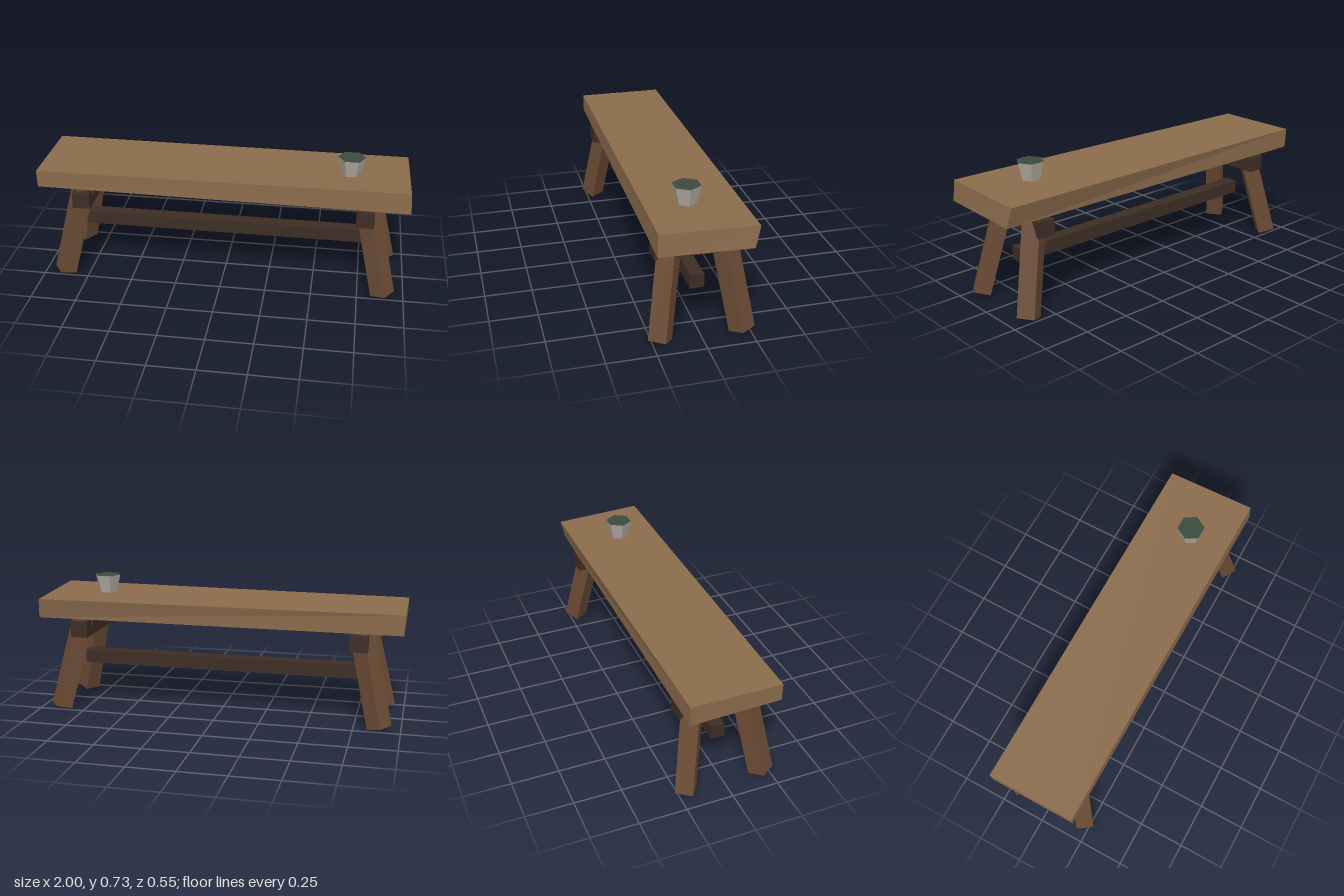
import * as THREE from 'three';

const paint = (name, color) => {
  const m = new THREE.MeshStandardMaterial({ color });
  m.name = name;
  return m;
};

export function createModel() {
  const plankWood = paint('plank wood', 0x8b6b4c);
  const legWood = paint('leg wood', 0x6a4b34);
  const darkWood = paint('dark wood', 0x3d2d24);
  const clay = paint('pale clay', 0xb0aba0);
  const green = paint('dark green', 0x3b4b3c);

  const model = new THREE.Group();
  model.name = 'bench';
  const add = (name, geometry, material, x = 0, y = 0, z = 0) => {
    const mesh = new THREE.Mesh(geometry, material);
    mesh.name = name;
    mesh.position.set(x, y, z);
    model.add(mesh);
    return mesh;
  };

  // Seat: a box with slightly uneven, hand-hewn corners, keyed by the signs of x, y, z
  const corners = {
    '+++': [0.99, 0.643, 0.243], '++-': [0.985, 0.626, -0.246],
    '+-+': [0.997, 0.53, 0.249], '+--': [0.997, 0.518, -0.22],
    '-++': [-1, 0.63, 0.23], '-+-': [-1, 0.63, -0.245],
    '--+': [-0.997, 0.537, 0.23], '---': [-0.995, 0.521, -0.242],
  };
  const slab = new THREE.BoxGeometry(2, 1, 1).toNonIndexed();
  const pos = slab.attributes.position;
  const sign = (v) => (v > 0 ? '+' : '-');
  for (let i = 0; i < pos.count; i++) {
    pos.setXYZ(i, ...corners[sign(pos.getX(i)) + sign(pos.getY(i)) + sign(pos.getZ(i))]);
  }
  slab.computeVertexNormals();
  add('seat', slab, plankWood);

  for (const sx of [-1, 1]) {
    // Splayed square legs, turned so each leans along its own face
    for (const sz of [-1, 1]) {
      const foot = new THREE.Vector3(sx * 0.8875, 0.0125, sz * 0.209);
      const top = new THREE.Vector3(sx * 0.769, 0.532, sz * 0.127);
      const along = top.clone().sub(foot);
      const length = along.length();
      along.normalize();
      const side = new THREE.Vector3(along.z, 0, -along.x).normalize();
      const out = new THREE.Vector3().crossVectors(side, along);
      const leg = add('leg', new THREE.BoxGeometry(0.093, length, 0.093), legWood);
      leg.quaternion.setFromRotationMatrix(new THREE.Matrix4().makeBasis(side, along, out));
      leg.position.copy(foot).add(top).multiplyScalar(0.5);
    }
    // Cross bar joining a pair of legs
    add('crossBar', new THREE.BoxGeometry(0.095, 0.086, 0.442), darkWood, sx * 0.767, 0.458, 0);
  }

  // Long rail between the leg pairs
  add('stretcher', new THREE.BoxGeometry(1.6, 0.073, 0.073), darkWood, 0, 0.261, 0);

  // Six-sided cup with its filled top
  const cup = new THREE.CylinderGeometry(0.074, 0.05, 0.098, 6, 1, true, Math.PI / 6).toNonIndexed();
  cup.computeVertexNormals();
  add('cup', cup, clay, 0.677, 0.681, 0.025);
  const fill = new THREE.CircleGeometry(0.074, 6).rotateX(-Math.PI / 2);
  add('cupContents', fill, green, 0.677, 0.73, 0.025);

  return model;
}
